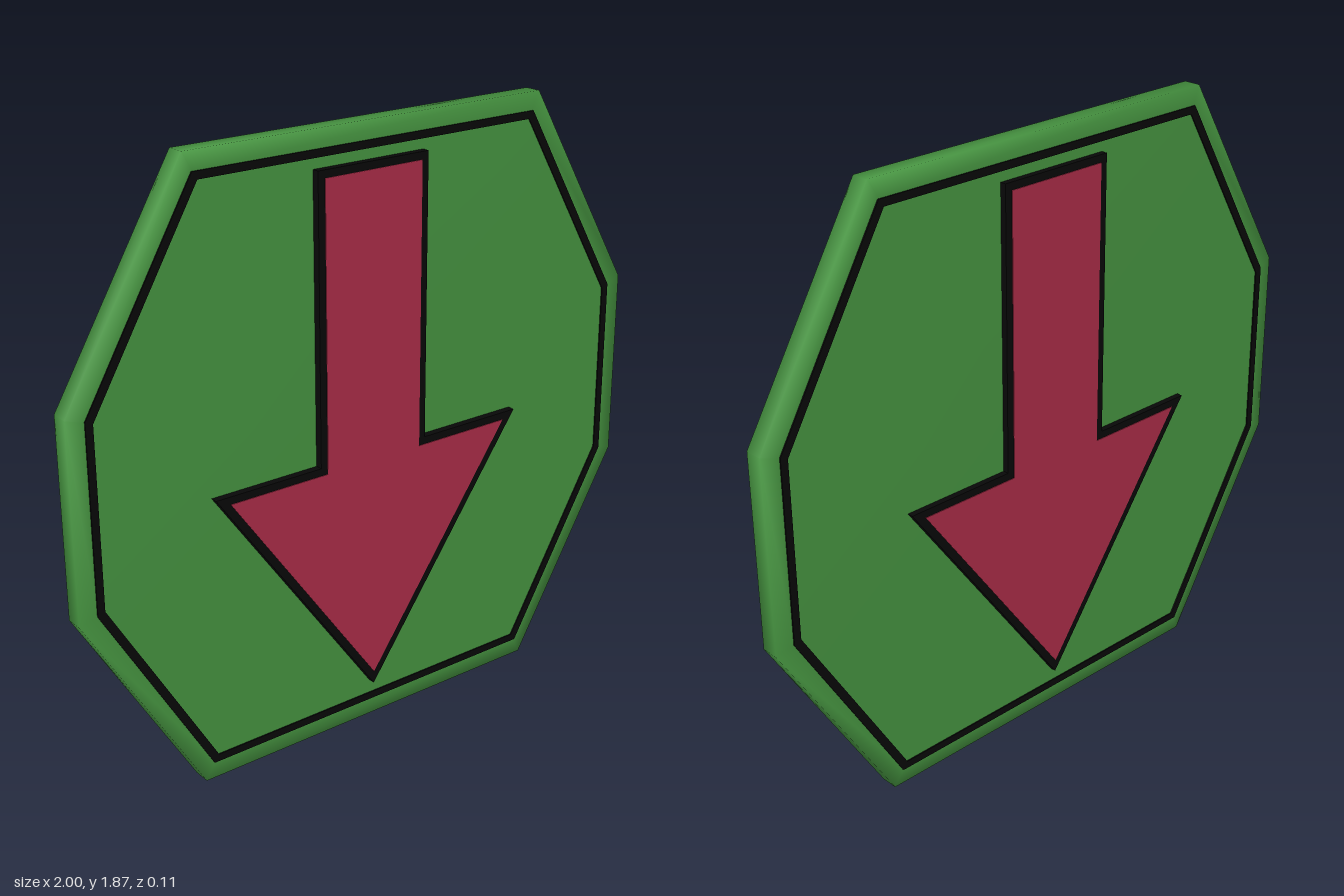
import * as THREE from 'three';

const green = new THREE.MeshStandardMaterial({ color: 0x489842, name: 'leaf green' });
const red = new THREE.MeshStandardMaterial({ color: 0xb02e4a, name: 'crimson' });
const black = new THREE.MeshStandardMaterial({ color: 0x080808, name: 'black' });

const MID = 0.937; // height of the sign's centre

// Octagon corners, counter-clockwise, from half-width, half-height and the cut corners
function octagon(w, h, cx, cy) {
  return [[cx, -h], [w, -cy], [w, cy], [cx, h], [-cx, h], [-w, cy], [-w, -cy], [-cx, -h]]
    .map(([x, y]) => new THREE.Vector2(x, y + MID));
}

// Arrow pointing down, slightly off centre
function arrow(shaft, top, head, shoulder, tip) {
  const c = -0.016;
  return [[0, tip], [head, shoulder], [shaft, shoulder], [shaft, top],
    [-shaft, top], [-shaft, shoulder], [-head, shoulder]]
    .map(([x, y]) => new THREE.Vector2(x + c, y));
}

// Straight extrusion between two depths
function slab(name, points, z0, z1, material, hole) {
  const shape = new THREE.Shape(points);
  if (hole) shape.holes.push(new THREE.Path(hole));
  const geometry = new THREE.ExtrudeGeometry(shape, { depth: z1 - z0, bevelEnabled: false });
  geometry.translate(0, 0, z0);
  const mesh = new THREE.Mesh(geometry, material);
  mesh.name = name;
  return mesh;
}

// Smooth board lofted through octagon rings from back to front, closed by fans
function board() {
  const outer = octagon(1, MID, 0.62, 0.298);
  const inner = octagon(0.945, 0.882, 0.59, 0.28);
  const rings = [[inner, -0.034], [outer, -0.027], [outer, 0.027], [inner, 0.03]];
  const positions = [], index = [], n = outer.length;
  for (const [ring, z] of rings) for (const p of ring) positions.push(p.x, p.y, z);
  positions.push(0, MID, -0.034, 0, MID, 0.03);
  const back = rings.length * n, front = back + 1, last = (rings.length - 1) * n;
  for (let i = 0; i < n; i++) {
    const j = (i + 1) % n;
    for (let r = 0; r < rings.length - 1; r++) {
      const a = r * n + i, b = r * n + j;
      index.push(a, b, b + n, a, b + n, a + n);
    }
    index.push(back, j, i, front, last + i, last + j);
  }
  const geometry = new THREE.BufferGeometry();
  geometry.setAttribute('position', new THREE.Float32BufferAttribute(positions, 3));
  geometry.setIndex(index);
  geometry.computeVertexNormals();
  const mesh = new THREE.Mesh(geometry, green);
  mesh.name = 'board';
  return mesh;
}

export function createModel() {
  const group = new THREE.Group();
  group.name = 'arrowSign';
  group.add(board());

  // Thin border line on each face
  const lineOuter = octagon(0.945, 0.882, 0.594, 0.282);
  const lineInner = octagon(0.922, 0.859, 0.578, 0.272);
  group.add(slab('frontBorder', lineOuter, 0.026, 0.034, black, lineInner));
  group.add(slab('backBorder', lineOuter, -0.038, -0.03, black, lineInner));

  // Black arrow through the board, with a red panel on each face
  const outline = arrow(0.193, 1.765, 0.553, 0.897, 0.122);
  const panel = arrow(0.17, 1.742, 0.506, 0.874, 0.163);
  group.add(slab('arrowOutline', outline, -0.053, 0.053, black));
  group.add(slab('frontArrow', panel, 0.05, 0.055, red));
  group.add(slab('backArrow', panel, -0.055, -0.05, red));
  return group;
}
